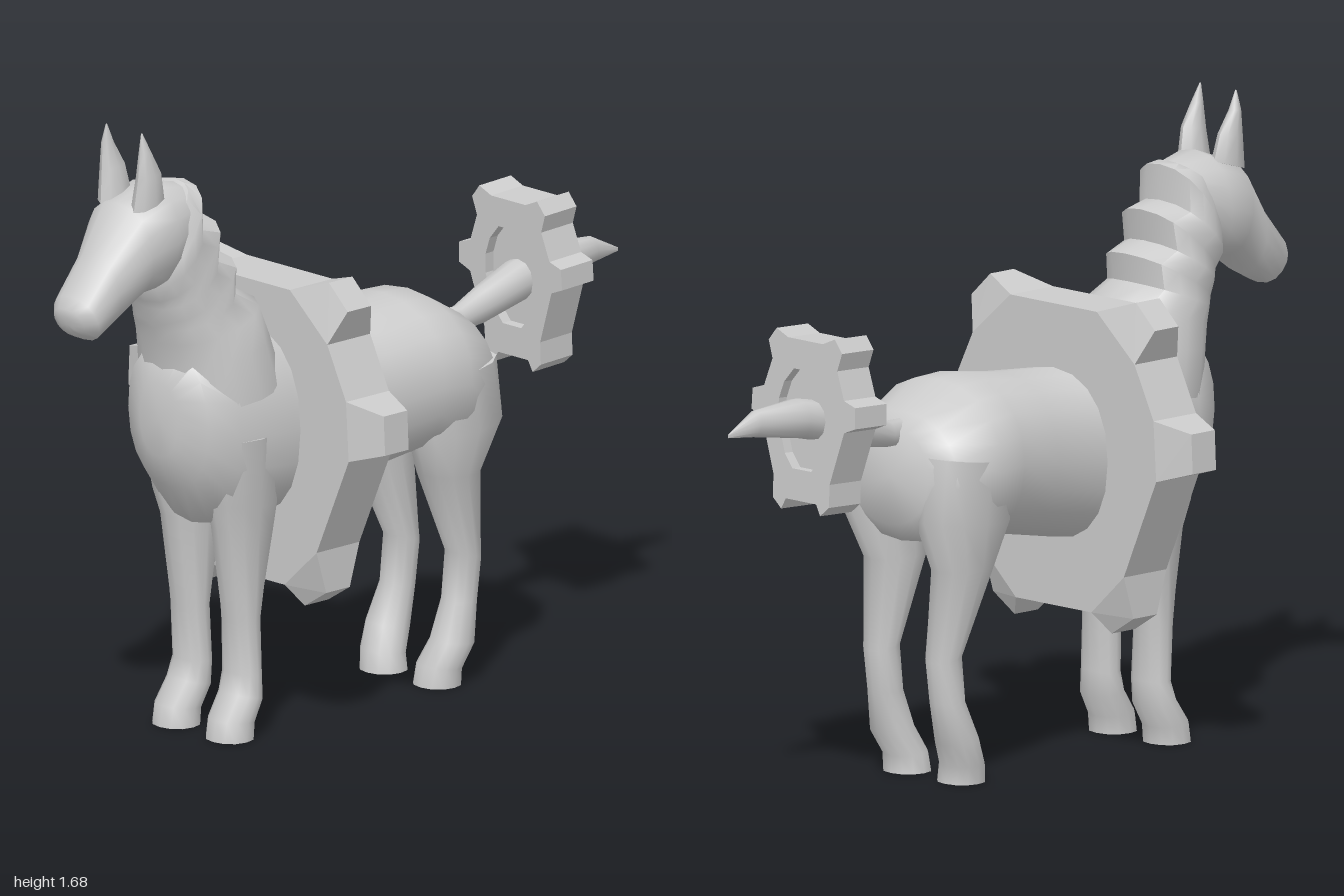
import * as THREE from 'three';
import { toCreasedNormals } from 'three/addons/utils/BufferGeometryUtils.js';
import { ConvexGeometry } from 'three/addons/geometries/ConvexGeometry.js';

const grey = new THREE.MeshStandardMaterial({ color: 0xcccccc });

function add(parent, name, geometry) {
  const mesh = new THREE.Mesh(geometry, grey);
  mesh.name = name;
  parent.add(mesh);
  return mesh;
}

// Closed loft through oval rings. Each ring: [z1, y1, z2, y2, halfWidth, centreX],
// where (z1, y1) and (z2, y2) are its two ends on the side profile.
function loft(rings, { sides = 16, crease = 0.9, power = 0.9, mirror = 1 } = {}) {
  const pos = [], index = [];
  const shape = (v) => Math.sign(v) * Math.abs(v) ** power;
  const centre = (r) => [(r[5] || 0) * mirror, (r[1] + r[3]) / 2, (r[0] + r[2]) / 2];
  for (const r of rings) {
    const [x, y, z] = centre(r);
    for (let j = 0; j < sides; j++) {
      const t = (j / sides) * Math.PI * 2, c = shape(Math.cos(t)), s = shape(Math.sin(t));
      pos.push(x + r[4] * s, y + ((r[1] - r[3]) / 2) * c, z + ((r[0] - r[2]) / 2) * c);
    }
  }
  const n = rings.length, first = rings[0], last = rings[n - 1];
  const a = centre(first), b = centre(last);
  pos.push(...a, ...b);
  const flip = (b[1] - a[1]) * (first[0] - first[2]) - (b[2] - a[2]) * (first[1] - first[3]) < 0;
  const tri = (i, j, k) => (flip ? index.push(i, k, j) : index.push(i, j, k));
  for (let j = 0; j < sides; j++) {
    const k = (j + 1) % sides;
    for (let i = 0; i < n - 1; i++) {
      const p = i * sides, q = p + sides;
      tri(p + j, p + k, q + k);
      tri(p + j, q + k, q + j);
    }
    tri(n * sides, k, j);
    tri(n * sides + 1, (n - 1) * sides + j, (n - 1) * sides + k);
  }
  const g = new THREE.BufferGeometry();
  g.setAttribute('position', new THREE.Float32BufferAttribute(pos, 3));
  g.setIndex(index);
  return toCreasedNormals(g, crease);
}

// Twelve-sided wheel with six teeth; taper narrows the tooth tips along z.
function wheel(name, depth, taper, hole) {
  const group = new THREE.Group();
  group.name = name;
  const half = [[0.16, 0.39], [0.3, 0.27], [0.37, 0.13], [0.38, -0.03], [0.26, -0.3], [0.14, -0.41]];
  const outline = [...half, ...half.map(([x, y]) => [-x, y]).reverse()];
  const shape = new THREE.Shape(outline.map(([x, y]) => new THREE.Vector2(x, y)));
  if (hole) {
    shape.holes.push(new THREE.Path(outline.map(([x, y]) => new THREE.Vector2(x * hole, y * hole)).reverse()));
    const hub = new THREE.Shape(outline.map(([x, y]) => new THREE.Vector2(x * hole, y * hole)));
    const hubGeometry = new THREE.ExtrudeGeometry(hub, { depth: depth * 0.5, bevelEnabled: false });
    add(group, 'hub', hubGeometry.translate(0, 0, -depth * 0.25));
  }
  const rim = new THREE.ExtrudeGeometry(shape, { depth, bevelEnabled: false });
  add(group, 'rim', rim.translate(0, 0, -depth / 2));
  const tips = [[0.27, 0.425], [0.34, 0.36], [0.475, 0.105], [0.48, 0], [0.26, -0.415], [0.18, -0.465]];
  for (const side of [1, -1]) {
    for (let i = 0; i < 6; i += 2) {
      const points = [];
      for (const k of [i, i + 1]) {
        for (const z of [-depth / 2, depth / 2]) {
          points.push(new THREE.Vector3(side * half[k][0], half[k][1], z));
          points.push(new THREE.Vector3(side * tips[k][0], tips[k][1], z * taper));
        }
      }
      add(group, 'tooth', new ConvexGeometry(points));
    }
  }
  return group;
}

export function createModel() {
  const model = new THREE.Group();
  model.name = 'horse';

  add(model, 'body', loft([
    [0.66, 0.97, 0.66, 0.77, 0.07], [0.63, 1.06, 0.62, 0.68, 0.15], [0.54, 1.1, 0.54, 0.57, 0.185],
    [0.36, 1.08, 0.36, 0.56, 0.2], [0.19, 1.02, 0.19, 0.57, 0.2], [0, 1.035, 0, 0.605, 0.21],
    [-0.15, 1.055, -0.15, 0.63, 0.235], [-0.24, 1.05, -0.24, 0.62, 0.245],
    [-0.36, 0.98, -0.37, 0.64, 0.205], [-0.4, 0.94, -0.42, 0.69, 0.14],
  ], { sides: 20 }));

  // Stepped back edge forms the cropped mane
  add(model, 'neckAndMane', loft([
    [0.64, 0.9, 0.3, 0.95, 0.19], [0.65, 1.02, 0.345, 1.08, 0.18], [0.67, 1.08, 0.37, 1.165, 0.16],
    [0.68, 1.12, 0.455, 1.21, 0.145], [0.69, 1.14, 0.445, 1.285, 0.14], [0.7, 1.18, 0.515, 1.31, 0.135],
    [0.71, 1.2, 0.5, 1.395, 0.13], [0.73, 1.24, 0.57, 1.41, 0.13], [0.73, 1.27, 0.57, 1.505, 0.125],
    [0.73, 1.4, 0.6, 1.51, 0.09],
  ]));

  add(model, 'head', loft([
    [0.6, 1.32, 0.59, 1.5, 0.09], [0.72, 1.24, 0.7, 1.525, 0.13], [0.78, 1.235, 0.81, 1.485, 0.122],
    [0.86, 1.175, 0.9, 1.365, 0.085], [0.93, 1.14, 0.98, 1.265, 0.08], [0.965, 1.155, 1, 1.235, 0.055],
    [0.985, 1.17, 1, 1.215, 0.025],
  ]));

  for (const [side, label] of [[1, 'left'], [-1, 'right']]) {
    add(model, label + 'Ear', loft([
      [0.81, 1.47, 0.71, 1.5, 0.034, 0.062], [0.8, 1.56, 0.725, 1.57, 0.026, 0.068],
      [0.795, 1.63, 0.76, 1.63, 0.014, 0.07], [0.787, 1.68, 0.783, 1.68, 0.002, 0.066],
    ], { sides: 8, mirror: side }));

    add(model, label + 'FrontLeg', loft([
      [0.59, 0.82, 0.36, 0.82, 0.085, 0.11], [0.56, 0.64, 0.355, 0.62, 0.075, 0.1],
      [0.54, 0.57, 0.36, 0.55, 0.065, 0.095], [0.5, 0.32, 0.41, 0.32, 0.055, 0.095],
      [0.487, 0.17, 0.41, 0.17, 0.06, 0.093], [0.505, 0.12, 0.41, 0.1, 0.064, 0.097],
      [0.55, 0.055, 0.438, 0.045, 0.064, 0.1], [0.56, 0, 0.44, 0, 0.064, 0.1],
    ], { sides: 12, mirror: side }));

    add(model, label + 'HindLeg', loft([
      [-0.13, 0.85, -0.4, 0.88, 0.1, 0.13], [-0.14, 0.69, -0.42, 0.71, 0.095, 0.135],
      [-0.18, 0.58, -0.355, 0.57, 0.075, 0.125], [-0.285, 0.35, -0.373, 0.33, 0.05, 0.115],
      [-0.27, 0.22, -0.36, 0.22, 0.048, 0.115], [-0.23, 0.12, -0.34, 0.11, 0.06, 0.12],
      [-0.2, 0.055, -0.305, 0.045, 0.064, 0.105], [-0.19, 0, -0.31, 0, 0.064, 0.1],
    ], { sides: 12, mirror: side }));
  }

  add(model, 'tail', loft([
    [-0.36, 0.965, -0.36, 0.895, 0.022], [-0.42, 0.965, -0.42, 0.895, 0.03],
    [-0.5, 1, -0.5, 0.905, 0.04], [-0.62, 1.045, -0.62, 0.935, 0.052],
    [-0.75, 1.07, -0.75, 0.965, 0.054], [-0.9, 1.06, -0.91, 0.99, 0.028], [-1, 1.01, -1, 1.0, 0.002],
  ], { sides: 12 }));

  const collar = wheel('bodyWheel', 0.155, 0.55, 0);
  collar.position.set(0, 0.8, 0.263);
  model.add(collar);

  const tailWheel = wheel('tailWheel', 0.155, 1, 0.62);
  tailWheel.scale.set(0.4, 0.53, 0.74);
  tailWheel.position.set(0, 1.01, -0.67);
  tailWheel.rotation.x = 0.04;
  model.add(tailWheel);

  return model;
}
